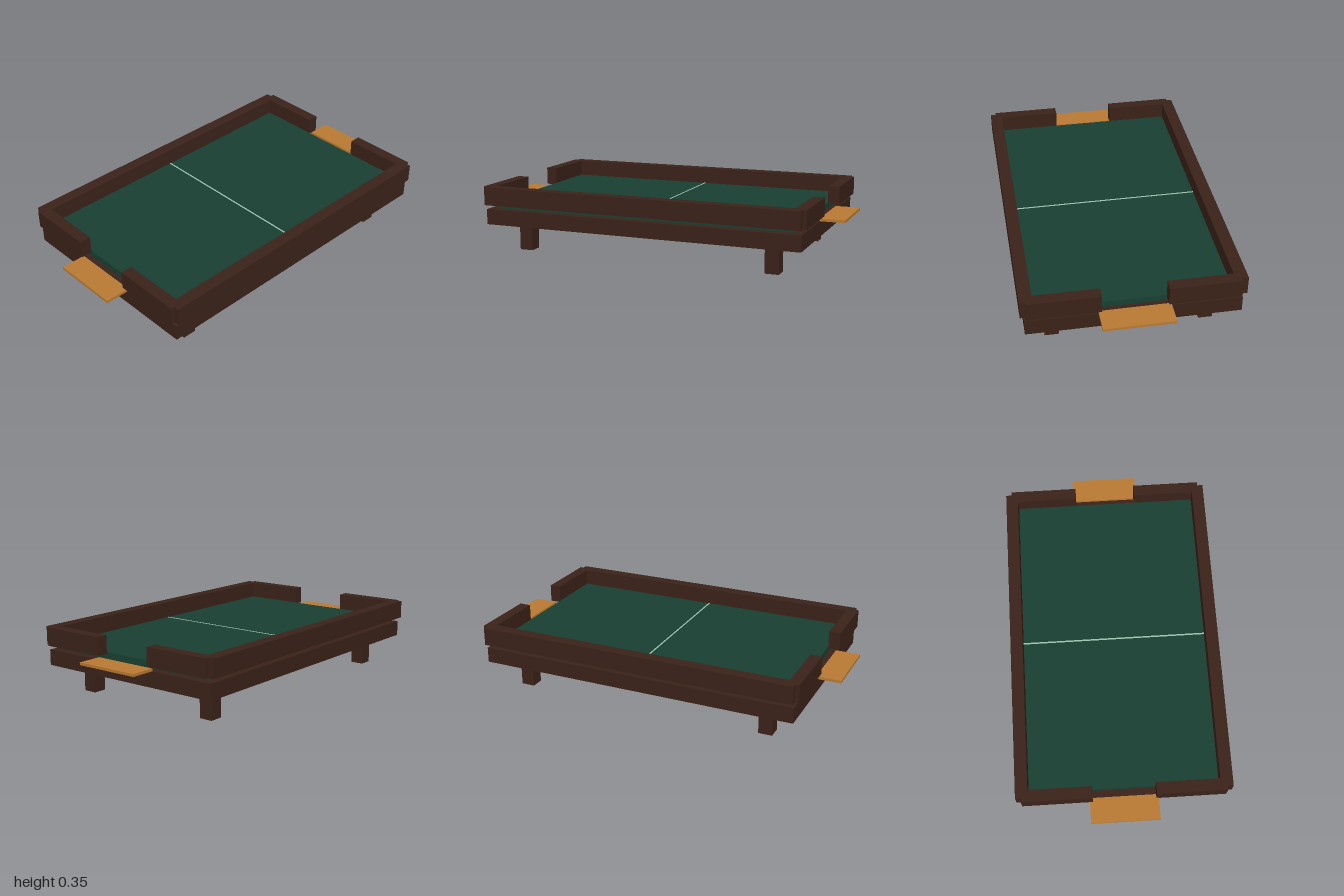
import * as THREE from 'three';

export function createModel() {
  const group = new THREE.Group();
  group.name = 'tableGame';
  const mat = (color) => new THREE.MeshStandardMaterial({ color });
  const wood = mat(0x3a2218);
  const felt = mat(0x184032);
  const tray = mat(0xb87a33);
  const line = mat(0x9cc4b0);

  // Box given by its extents along each axis
  const box = (name, material, [x0, x1], [y0, y1], [z0, z1]) => {
    const mesh = new THREE.Mesh(new THREE.BoxGeometry(x1 - x0, y1 - y0, z1 - z0), material);
    mesh.position.set((x0 + x1) / 2, (y0 + y1) / 2, (z0 + z1) / 2);
    mesh.name = name;
    group.add(mesh);
  };
  // Extents mirrored to the given side
  const side = (s, a, b) => (s > 0 ? [a, b] : [-b, -a]);

  // Bed and playing surface
  box('base', wood, [-0.54, 0.54], [0.15, 0.233], [-0.87, 0.87]);
  box('playingSurface', felt, [-0.495, 0.495], [0.233, 0.267], [-0.828, 0.828]);
  box('centreLine', line, [-0.495, 0.495], [0.266, 0.2685], [-0.004, 0.004]);

  for (const s of [1, -1]) {
    const end = s > 0 ? 'front' : 'back';
    // Long rails and goal trays
    box(s > 0 ? 'leftRail' : 'rightRail', wood, side(s, 0.495, 0.56), [0.258, 0.355], [-0.87, 0.87]);
    box(end + 'GoalTray', tray, [-0.18, 0.18], [0.233, 0.247], side(s, 0.868, 1));

    // Split end rails and legs
    for (const t of [1, -1]) {
      const hand = t > 0 ? 'Left' : 'Right';
      box(end + hand + 'EndRail', wood, side(t, 0.165, 0.53), [0.258, 0.355], side(s, 0.828, 0.89));
      box(end + hand + 'Leg', wood, side(t, 0.36, 0.433), [0, 0.15], side(s, 0.658, 0.732));
    }
  }
  return group;
}
